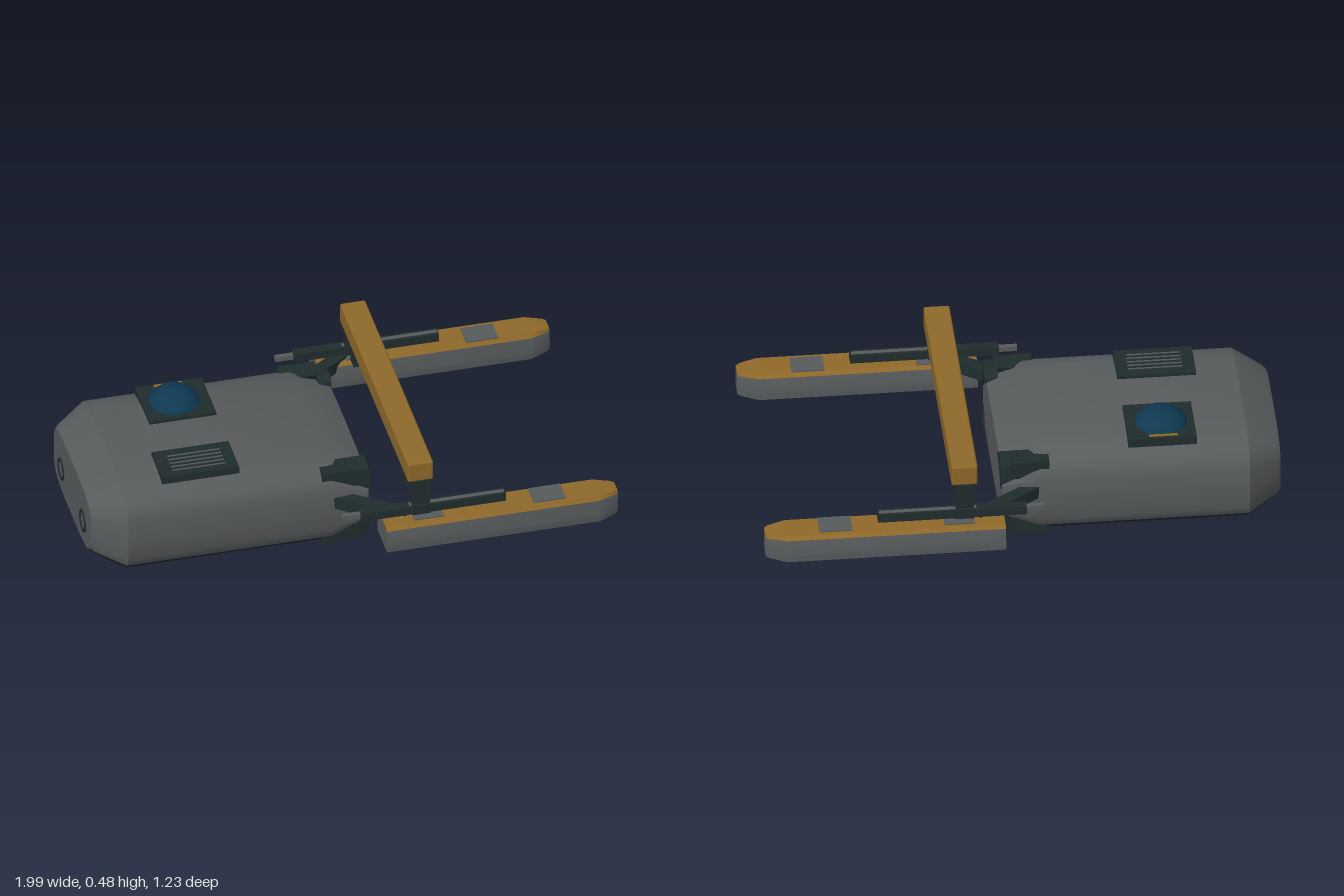
import * as THREE from 'three';
import { toCreasedNormals } from 'three/addons/utils/BufferGeometryUtils.js';
import { RoundedBoxGeometry } from 'three/addons/geometries/RoundedBoxGeometry.js';

const mat = (name, color) => {
  const m = new THREE.MeshStandardMaterial({ color });
  m.name = name;
  return m;
};

// Lofts a closed ring of [z, y] points along x. Sections are [x, scaleY, scaleZ].
// isSecond(i) picks the second material for the strip after ring point i.
function loft(ring, sections, midY, isSecond) {
  const n = ring.length, pos = [], lists = [[], []];
  for (const [x, sy, sz] of sections)
    for (const [z, y] of ring) pos.push(x, midY + (y - midY) * sy, z * sz);
  for (let s = 0; s < sections.length - 1; s++)
    for (let i = 0; i < n; i++) {
      const j = (i + 1) % n, a = s * n + i, b = s * n + j;
      lists[isSecond(i) ? 1 : 0].push(a, a + n, b, b, a + n, b + n);
    }
  // end caps
  const last = (sections.length - 1) * n, c0 = pos.length / 3;
  pos.push(sections[0][0], midY, 0, sections[sections.length - 1][0], midY, 0);
  for (let i = 0; i < n; i++) {
    const j = (i + 1) % n;
    lists[0].push(c0, i, j, c0 + 1, last + j, last + i);
  }
  const g = new THREE.BufferGeometry();
  g.setAttribute('position', new THREE.Float32BufferAttribute(pos, 3));
  g.setIndex([...lists[0], ...lists[1]]);
  g.addGroup(0, lists[0].length, 0);
  g.addGroup(lists[0].length, lists[1].length, 1);
  return toCreasedNormals(g, 0.45);
}

export function createModel() {
  const model = new THREE.Group();
  model.name = 'spacecraft';
  const grey = mat('hull grey', 0x585b5c);
  const dark = mat('dark metal', 0x202d2d);
  const gold = mat('ochre', 0x8f692a);
  const blue = mat('blue glass', 0x0f3850);

  const add = (name, geo, material, x = 0, y = 0, z = 0) => {
    const m = new THREE.Mesh(geo, material);
    m.name = name;
    m.position.set(x, y, z);
    model.add(m);
    return m;
  };
  // Box given by its limits on each axis
  const box = (name, material, [x0, x1], [y0, y1], [z0, z1]) =>
    add(name, new THREE.BoxGeometry(x1 - x0, y1 - y0, Math.abs(z1 - z0)), material,
      (x0 + x1) / 2, (y0 + y1) / 2, (z0 + z1) / 2);

  // Main hull: rounded-square section with tapered ends and a dark belly
  const N = 28, midY = 0.192, ring = [];
  const root = v => Math.sign(v) * Math.sqrt(Math.abs(v));
  for (let i = 0; i < N; i++) {
    const a = (i / N) * Math.PI * 2;
    ring.push([0.38 * root(Math.cos(a)), midY + 0.192 * root(Math.sin(a))]);
  }
  add('hull', loft(ring, [
    [-0.99, 0.66, 0.76], [-0.975, 0.72, 0.81], [-0.865, 1, 1],
    [-0.07, 1, 1], [0.075, 0.67, 0.96],
  ], midY, i => i >= 16 && i < 26), [grey, dark]);

  // Round ports on the blunt end
  for (const s of [-1, 1]) {
    const rim = add('portRim', new THREE.TorusGeometry(0.04, 0.006, 6, 24), dark, -0.99, 0.165, s * 0.17);
    rim.rotation.y = Math.PI / 2;
  }

  // Dome turret on its plate
  box('domePlate', dark, [-0.67, -0.41], [0.345, 0.396], [-0.305, -0.075]);
  const dome = [[0.1, 0.394], [0.094, 0.408], [0.07, 0.431], [0.04, 0.446], [0, 0.452]]
    .map(([r, y]) => new THREE.Vector2(r, y));
  add('dome', new THREE.LatheGeometry(dome, 24), blue, -0.545, 0, -0.19);
  box('domeTrim', gold, [-0.6, -0.49], [0.394, 0.401], [-0.295, -0.285]);

  // Slatted vent
  box('ventPlate', dark, [-0.71, -0.41], [0.345, 0.396], [0.115, 0.285]);
  for (let i = 0; i < 5; i++) {
    const z = 0.155 + i * 0.023;
    box('ventSlat', grey, [-0.66, -0.455], [0.394, 0.399], [z, z + 0.005]);
  }

  // Cross beam
  add('crossBeam', new RoundedBoxGeometry(0.1, 0.085, 1.07, 1, 0.008), gold, 0.235, 0.433, 0);

  const half = [[0.074, 0.137], [0.077, 0.165], [0.073, 0.2], [0.067, 0.228], [0.056, 0.241]];
  const podRing = [...half, ...half.map(([z, y]) => [-z, y]).reverse()];
  const podGeo = loft(podRing, [
    [0.085, 1, 1], [0.915, 1, 1], [0.98, 0.95, 0.6], [0.995, 0.87, 0.46],
  ], 0.189, i => i >= 3 && i <= 5);

  for (const s of [-1, 1]) {
    const zz = (a, b) => [s * a, s * b];

    // Side pod with inset panels
    add('pod', podGeo, [grey, gold], 0, 0, s * 0.536);
    box('podPanel', grey, [0.665, 0.79], [0.238, 0.246], zz(0.483, 0.575));
    box('podPanel', grey, [0.2, 0.315], [0.238, 0.246], zz(0.483, 0.575));

    // Long rail with a thin rod at its end
    box('rail', dark, [0.0, 0.565], [0.25, 0.284], zz(0.507, 0.546));
    box('railTop', grey, [0.19, 0.56], [0.282, 0.286], zz(0.518, 0.535));
    box('railRod', grey, [-0.07, 0.01], [0.258, 0.278], zz(0.515, 0.535));

    // Posts carrying the beam
    box('postFoot', dark, [0.2, 0.27], [0.235, 0.288], zz(0.505, 0.547));
    box('post', dark, [0.2, 0.27], [0.28, 0.395], zz(0.512, 0.538));
    box('beamHanger', dark, [0.2, 0.265], [0.285, 0.395], zz(0.375, 0.425));

    // Slanted arm from hull corner to pod
    const from = new THREE.Vector2(-0.08, 0.335), to = new THREE.Vector2(0.19, 0.52);
    const arm = add('arm', new THREE.BoxGeometry(from.distanceTo(to), 0.05, 0.05), dark,
      (from.x + to.x) / 2, 0.227, s * (from.y + to.y) / 2);
    arm.rotation.y = -s * Math.atan2(to.y - from.y, to.x - from.x);

    // Corner clamps, upper and lower
    for (const v of [-1, 1]) {
      const clamp = (name, pts, x0, x1) => {
        const shape = new THREE.Shape(pts.map(([z, h]) => new THREE.Vector2(-s * z, midY + v * h)));
        const g = new THREE.ExtrudeGeometry(shape, { depth: x1 - x0, bevelEnabled: false });
        g.rotateY(Math.PI / 2);
        add(name, g, dark, x0, 0, 0);
      };
      clamp('cornerClamp', [[0.29, 0.11], [0.27, 0.162], [0.358, 0.163], [0.358, 0.09]], -0.07, 0.04);
      clamp('clampTip', [[0.3, 0.13], [0.3, 0.165], [0.358, 0.165], [0.358, 0.11]], -0.105, -0.06);
      clamp('clampClaw', [[0.238, 0.115], [0.24, 0.14], [0.27, 0.16], [0.35, 0.15], [0.358, 0.05],
        [0.335, 0.045], [0.31, 0.08], [0.29, 0.105]], 0.03, 0.08);
    }
  }
  return model;
}
